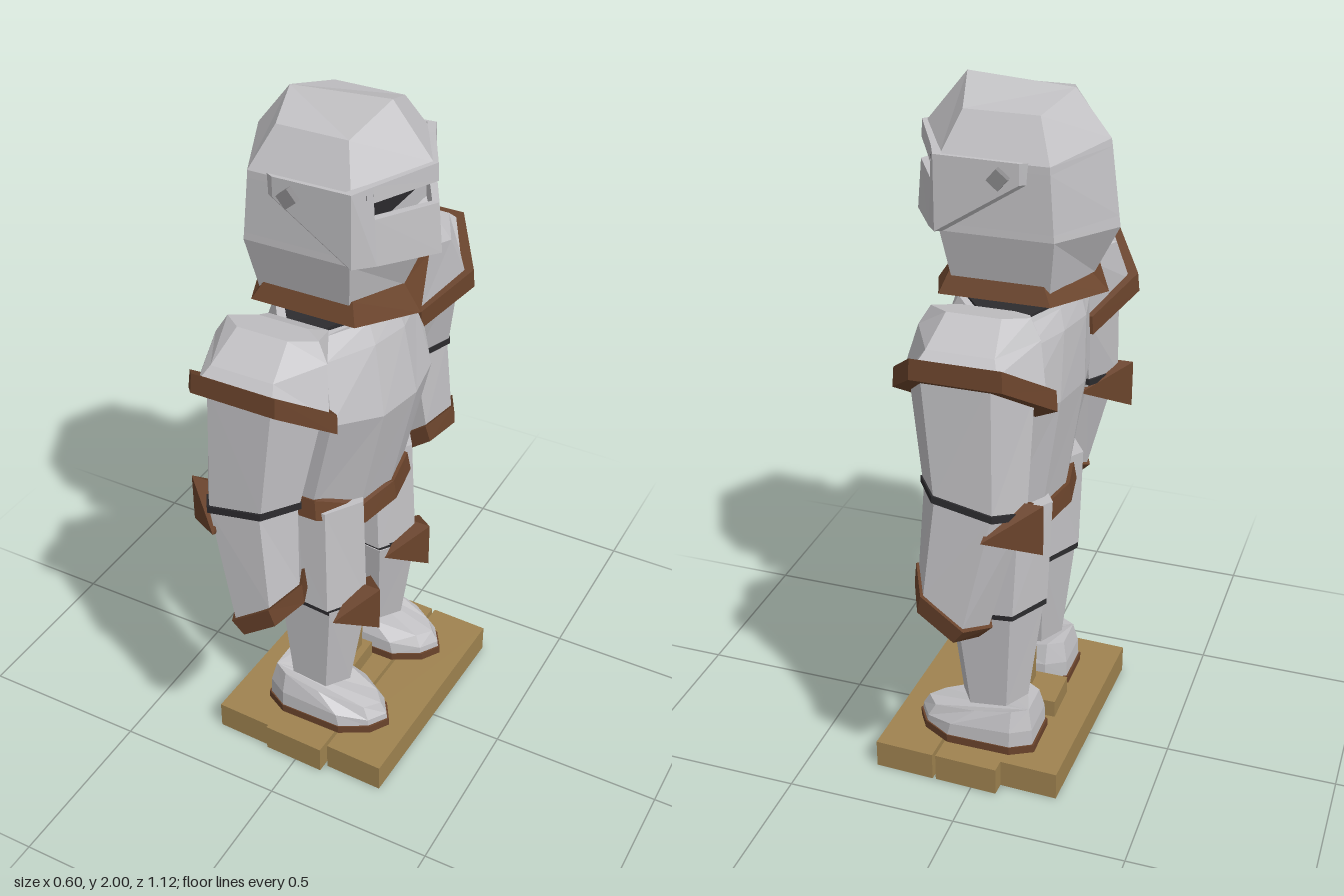
import * as THREE from 'three';
import { ConvexGeometry } from 'three/addons/geometries/ConvexGeometry.js';

const mat = (name, color) => {
  const m = new THREE.MeshStandardMaterial({ color, flatShading: true });
  m.name = name;
  return m;
};

// Closed solid through equal-length rings of [x, y, z]; faces are turned outward by signed volume.
function loft(rings) {
  const n = rings[0].length, tris = [];
  for (let r = 0; r < rings.length - 1; r++) {
    for (let i = 0; i < n; i++) {
      const j = (i + 1) % n, a = rings[r], b = rings[r + 1];
      tris.push([a[i], a[j], b[j]], [a[i], b[j], b[i]]);
    }
  }
  const first = rings[0], last = rings[rings.length - 1];
  for (let i = 1; i < n - 1; i++) {
    tris.push([first[0], first[i + 1], first[i]], [last[0], last[i], last[i + 1]]);
  }
  let volume = 0;
  const o = new THREE.Vector3(...first[0]);
  for (const t of tris) {
    const [a, b, c] = t.map(p => new THREE.Vector3(...p).sub(o));
    volume += a.dot(b.cross(c));
  }
  if (volume < 0) tris.forEach(t => t.reverse());
  const g = new THREE.BufferGeometry();
  g.setAttribute('position', new THREE.Float32BufferAttribute(tris.flat(2), 3));
  g.computeVertexNormals();
  return g;
}

// Hexagon pointed to the back and the front: [x, y] of both tips, x range, half width and y of the sides.
const hex = ([bx, by], [fx, fy], x0, x1, w, y) => [
  [bx, by, 0], [x0, y, w], [x1, y, w], [fx, fy, 0], [x1, y, -w], [x0, y, -w]];

// Limb hexagon between an inner and an outer [z, y], tilted along x by slope.
function limbHex(s, x0, x1, inner, outer, slope = 0, k = 0.55) {
  const c = (x0 + x1) / 2, h = (x1 - x0) / 2 * k;
  const mid = [(inner[0] + outer[0]) / 2, (inner[1] + outer[1]) / 2];
  return [[x0, mid], [c - h, outer], [c + h, outer], [x1, mid], [c + h, inner], [c - h, inner]]
    .map(([x, [z, y]]) => [x, y + slope * (x - c), z * s]);
}

export function createModel() {
  const steel = mat('steel', 0xc2c1c4), leather = mat('brown trim', 0x6b442c);
  const wood = mat('wood', 0x9f8350), dark = mat('dark lining', 0x2c2b2e);
  const hollow = mat('glove hollow', 0x504b56), rivet = mat('rivet steel', 0x8b8a8c);

  const model = new THREE.Group();
  model.name = 'armorOnStand';
  let parent = model;
  const add = (name, geometry, material, x = 0, y = 0, z = 0) => {
    const m = new THREE.Mesh(geometry, material);
    m.name = name;
    m.position.set(x, y, z);
    parent.add(m);
    return m;
  };
  const group = name => {
    parent = new THREE.Group();
    parent.name = name;
    model.add(parent);
  };

  // Wooden stand
  group('stand');
  for (const [x, z, w, l] of [[-0.172, 0.015, 0.172, 0.66], [0.005, 0.005, 0.186, 0.71], [0.196, -0.002, 0.176, 0.685]]) {
    add('plank', new THREE.BoxGeometry(w, 0.085, l), wood, x, 0.0425, z).rotation.y = -0.033;
  }
  add('postFoot', new THREE.BoxGeometry(0.2, 0.055, 0.13), wood, -0.065, 0.112, 0);
  add('post', new THREE.BoxGeometry(0.085, 1.38, 0.085), wood, -0.03, 0.81, 0);

  // Helmet, with the front set back behind the visor
  group('helmet');
  add('helmetShell', loft([
    hex([-0.175, 1.98], [0.11, 2], -0.13, 0.07, 0.148, 1.945),
    hex([-0.27, 1.86], [0.222, 1.862], -0.175, 0.11, 0.213, 1.84),
    hex([-0.273, 1.84], [0.12, 1.84], -0.176, 0.11, 0.214, 1.82),
    hex([-0.296, 1.66], [0.12, 1.66], -0.188, 0.11, 0.219, 1.67),
    hex([-0.3, 1.63], [0.205, 1.625], -0.19, 0.11, 0.22, 1.65),
    hex([-0.235, 1.5], [0.15, 1.5], -0.17, 0.09, 0.185, 1.5)]), steel);
  add('eyeLining', new THREE.BoxGeometry(0.03, 0.1, 0.38), dark, 0.125, 1.785, 0);

  // Visor plates: each section is [x, z, top y, bottom y]
  const plate = secs => loft(secs.map(([x, z, t, b, lean = 0.012]) => [
    [x, t, z], [x + lean, b, z], [x + lean - 0.02, b, z * 0.95], [x - 0.02, t, z * 0.95]]));
  for (const s of [1, -1]) {
    add('visorCheek', plate([[-0.1, 0.224 * s, 1.845, 1.79, 0], [0.12, 0.231 * s, 1.85, 1.65, 0],
      [0.147, 0.17 * s, 1.852, 1.64]]), steel);
    add('visorRivet', new THREE.BoxGeometry(0.04, 0.04, 0.03), rivet, -0.05, 1.805, 0.23 * s).rotation.z = 0.7;
  }
  add('visorBrow', plate([[0.147, 0.17, 1.852, 1.81, 0.003], [0.236, 0, 1.863, 1.815, 0.003],
    [0.147, -0.17, 1.852, 1.81, 0.003]]), steel);
  add('visorJaw', plate([[0.15, 0.17, 1.765, 1.64, 0.009], [0.242, 0, 1.757, 1.62],
    [0.15, -0.17, 1.765, 1.64, 0.009]]), steel);

  // Flared collar with a dark underside
  add('collar', loft([
    hex([-0.21, 1.515], [0.15, 1.505], -0.15, 0.1, 0.185, 1.53),
    hex([-0.275, 1.45], [0.2, 1.43], -0.18, 0.12, 0.212, 1.475)]), leather);
  add('collarLining', loft([
    hex([-0.25, 1.45], [0.175, 1.43], -0.165, 0.105, 0.195, 1.475),
    hex([-0.25, 1.444], [0.175, 1.424], -0.165, 0.105, 0.195, 1.469)]), dark);

  // Torso rings: back, front, side half width, drop of the sides
  group('torso');
  const torsoRing = (y, b, f, w, drop, dy = 0) => {
    const half = [[f, 0, y], [f - 0.025, w * 0.52, y], [f - 0.11, w, y + drop],
      [b + 0.09, w, y + drop], [b + 0.025, w * 0.52, y], [b, 0, y]];
    const all = half.concat(half.slice(1, 5).reverse().map(([x, z, h]) => [x, -z, h]));
    return all.map(([x, z, h]) => [x, h + dy, z]);
  };
  add('breastplate', loft([torsoRing(1.43, -0.2, 0.13, 0.2, -0.02), torsoRing(1.375, -0.215, 0.155, 0.225, -0.02),
    torsoRing(1.18, -0.215, 0.195, 0.272, 0.02), torsoRing(0.84, -0.165, 0.12, 0.25, 0.05)]), steel);
  add('neckLining', loft([torsoRing(1.431, -0.18, 0.115, 0.185, -0.02),
    torsoRing(1.438, -0.18, 0.115, 0.185, -0.02)]), dark);
  add('belt', loft([torsoRing(0.858, -0.178, 0.133, 0.258, 0.065),
    torsoRing(0.8, -0.185, 0.142, 0.268, 0.065)]), leather);

  // Folded guard used on elbows and knees
  const guard = (tip, base, yc, zc, hy, hz) => {
    const back = tip + (base - tip) * 0.9;
    return new ConvexGeometry([[tip, yc + hy, zc], [tip, yc - hy, zc], [base, yc, zc + hz],
      [base, yc, zc - hz], [back, yc + hy, zc], [back, yc - hy * 0.8, zc]].map(p => new THREE.Vector3(...p)));
  };

  for (const s of [1, -1]) {
    const side = s > 0 ? 'right' : 'left';
    const limb = (...rings) => loft(rings.map(r => limbHex(s, ...r)));

    // Arm
    group(side + 'Arm');
    add('shoulderPlate', limb(
      [-0.17, 0.09, [0.29, 1.49], [0.39, 1.51]],
      [-0.2, 0.12, [0.215, 1.45], [0.49, 1.45]],
      [-0.23, 0.15, [0.275, 1.23], [0.523, 1.42]]), steel);
    add('shoulderTrim', limb(
      [-0.255, 0.172, [0.268, 1.25], [0.53, 1.44]],
      [-0.26, 0.175, [0.27, 1.195], [0.535, 1.385]]), leather);
    add('upperArm', limb(
      [-0.2, 0.13, [0.285, 1.25], [0.515, 1.4]],
      [-0.195, 0.085, [0.352, 1.02], [0.53, 1.05], 0.2]), steel);
    add('elbowStrap', limb(
      [-0.2, 0.09, [0.345, 1.027], [0.537, 1.057], 0.2],
      [-0.2, 0.09, [0.347, 1.008], [0.538, 1.038], 0.2]), dark);
    add('forearm', limb(
      [-0.19, 0.08, [0.352, 1.02], [0.533, 1.04], 0.2],
      [-0.1, 0.092, [0.38, 0.74], [0.55, 0.74], 0.79]), steel);
    add('cuff', limb(
      [-0.11, 0.1, [0.37, 0.74], [0.56, 0.74], 0.75],
      [-0.072, 0.106, [0.378, 0.69], [0.552, 0.69], 0.75]), leather);
    add('cuffHollow', limb(
      [-0.05, 0.086, [0.4, 0.69], [0.53, 0.69], 0.75],
      [-0.046, 0.09, [0.4, 0.685], [0.53, 0.685], 0.75]), hollow);
    add('elbowGuard', guard(-0.24, -0.11, 0.97, 0.445 * s, 0.072, 0.11), leather);

    // Leg
    group(side + 'Leg');
    add('thigh', limb(
      [-0.175, 0.115, [0.048, 0.88], [0.25, 0.88]],
      [-0.165, 0.13, [0.045, 0.555], [0.268, 0.555], -0.1]), steel);
    add('kneeStrap', limb(
      [-0.163, 0.132, [0.05, 0.56], [0.262, 0.56], -0.1],
      [-0.163, 0.132, [0.05, 0.535], [0.262, 0.535], -0.1]), dark);
    add('shin', limb(
      [-0.155, 0.132, [0.047, 0.545], [0.262, 0.545], -0.1],
      [-0.115, 0.083, [0.098, 0.222], [0.238, 0.222], -0.12]), steel);
    add('kneeGuard', guard(0.175, 0.085, 0.52, 0.16 * s, 0.072, 0.115), leather);

    // Boot: [heel x, ankle x, ball x, toe x, half width, heel y, ball y, toe y]
    const boot = (h, a, b, t, w, y0, y1, y2) => {
      const half = [[h, y0, 0.65], [a, y0, 1], [b, y1, 1], [t - 0.035, y2, 0.55]];
      return [...half, [t, y2, 0], ...half.slice().reverse().map(([x, y, k]) => [x, y, -k])]
        .map(([x, y, k]) => [x, y, (0.175 + k * w) * s]);
    };
    add('boot', loft([boot(-0.135, -0.09, 0.02, 0.19, 0.078, 0.222, 0.2, 0.165),
      boot(-0.148, -0.09, 0.09, 0.21, 0.097, 0.16, 0.15, 0.13),
      boot(-0.15, -0.09, 0.1, 0.212, 0.098, 0.108, 0.108, 0.108)]), steel);
    add('sole', loft([boot(-0.156, -0.09, 0.1, 0.218, 0.101, 0.11, 0.11, 0.11),
      boot(-0.156, -0.09, 0.1, 0.218, 0.101, 0.085, 0.085, 0.085)]), leather);
  }
  return model;
}
